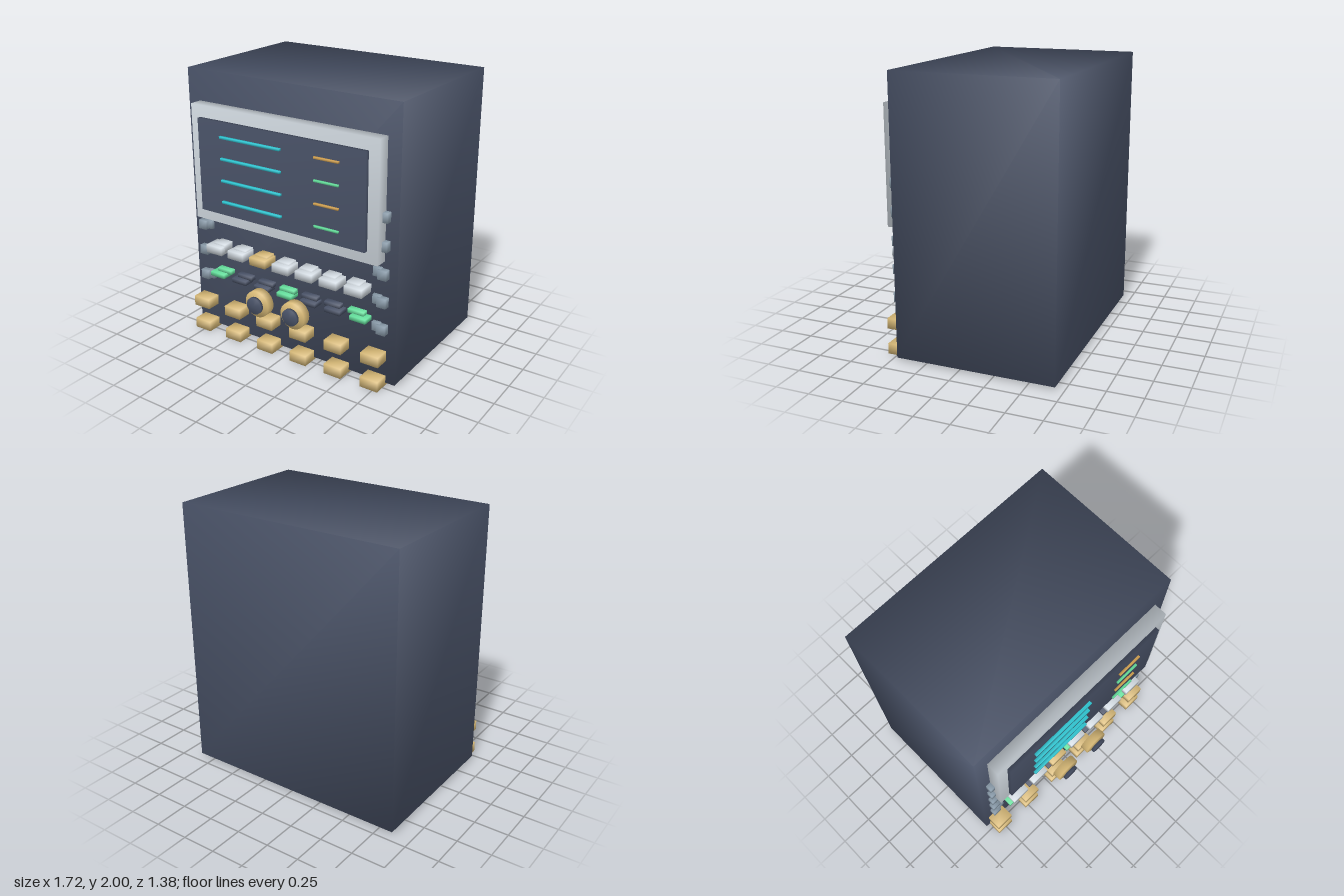
import * as THREE from 'three';
import { mergeVertices } from 'three/addons/utils/BufferGeometryUtils.js';

const mat = (name, color) => {
  const m = new THREE.MeshStandardMaterial({ color });
  m.name = name;
  return m;
};

// Weld corners so that shading rolls smoothly over the edges
function soften(geometry) {
  geometry.deleteAttribute('normal');
  geometry.deleteAttribute('uv');
  const welded = mergeVertices(geometry, 1e-4);
  welded.computeVertexNormals();
  return welded;
}

export function createModel() {
  const model = new THREE.Group();
  model.name = 'controlPanel';

  const slate = mat('slate', 0x485166);
  const silver = mat('silver', 0xcdd5dc);
  const gold = mat('gold', 0xd6b876);
  const steel = mat('steel', 0x8b9dac);
  const cyan = mat('cyan', 0x2fc6d2);
  const green = mat('green', 0x62dc9a);
  const amber = mat('amber', 0xd0a050);

  // Box given by centre x/y, size x/y and its z range
  function box(name, material, x, y, w, h, z0, z1, parent = model) {
    const mesh = new THREE.Mesh(soften(new THREE.BoxGeometry(w, h, z1 - z0)), material);
    mesh.position.set(x, y, (z0 + z1) / 2);
    mesh.name = name;
    parent.add(mesh);
  }

  // Disc facing the front
  function disc(name, material, x, y, r, z0, z1, parent) {
    const geometry = soften(new THREE.CylinderGeometry(r, r, z1 - z0, 24).rotateX(Math.PI / 2));
    const mesh = new THREE.Mesh(geometry, material);
    mesh.position.set(x, y, (z0 + z1) / 2);
    mesh.name = name;
    parent.add(mesh);
  }

  function group(name) {
    const g = new THREE.Group();
    g.name = name;
    model.add(g);
    return g;
  }

  // Cabinet and display
  box('cabinet', slate, 0, 1.01, 1.724, 1.98, -0.69, 0.462);
  box('displayBezel', silver, 0, 1.351, 1.526, 0.848, 0.44, 0.556);
  box('displayScreen', slate, 0, 1.351, 1.366, 0.678, 0.54, 0.586);

  // Readout bars on the screen
  const readouts = group('readouts');
  [1.588, 1.432, 1.273, 1.115].forEach((y, i) => {
    box('longReadout', cyan, -0.223, y, 0.508, 0.016, 0.587, 0.609, readouts);
    box('shortReadout', i % 2 ? green : amber, 0.397, y, 0.19, 0.014, 0.593, 0.609, readouts);
  });

  // Paired keys down both sides
  const sideKeys = group('sideKeys');
  for (const side of [-1, 1]) {
    for (let i = 0; i < 5; i++) {
      const y = 1.247 - i * 0.2025;
      box('outerSideKey', steel, side * 0.766, y, 0.068, 0.068, 0.44, 0.508, sideKeys);
      box('innerSideKey', steel, side * 0.72, y + 0.008, 0.06, 0.066, 0.43, 0.49, sideKeys);
    }
  }

  // Two-step function keys and indicator lamps
  const functionKeys = group('functionKeys');
  const lamps = group('indicatorLamps');
  for (let i = -3; i <= 3; i++) {
    const keyColor = i === -1 ? gold : silver;
    box('functionKey', keyColor, i * 0.1985, 0.708, 0.138, 0.06, 0.45, 0.587, functionKeys);
    box('functionKeyStep', keyColor, i * 0.191, 0.723, 0.1, 0.058, 0.44, 0.546, functionKeys);
    const lampColor = i % 3 === 0 ? green : slate;
    box('lamp', lampColor, i * 0.203, 0.487, 0.125, 0.032, 0.44, 0.546, lamps);
    box('lampStep', lampColor, i * 0.191, 0.514, 0.125, 0.032, 0.44, 0.508, lamps);
  }

  // Rotary knobs with dark caps
  const knobs = group('knobs');
  for (const x of [-0.155, 0.153]) {
    disc('knob', gold, x, 0.427, 0.1, 0.593, 0.656, knobs);
    disc('knobCap', slate, x, 0.427, 0.063, 0.667, 0.69, knobs);
  }

  // Two rows of large keys along the bottom
  const lowerKeys = group('lowerKeys');
  for (const y of [0.228, 0.038]) {
    for (let i = 0; i < 6; i++) {
      box('lowerKey', gold, -0.757 + i * 0.2957, y, 0.139, 0.076, 0.44, 0.572, lowerKeys);
    }
  }

  return model;
}
